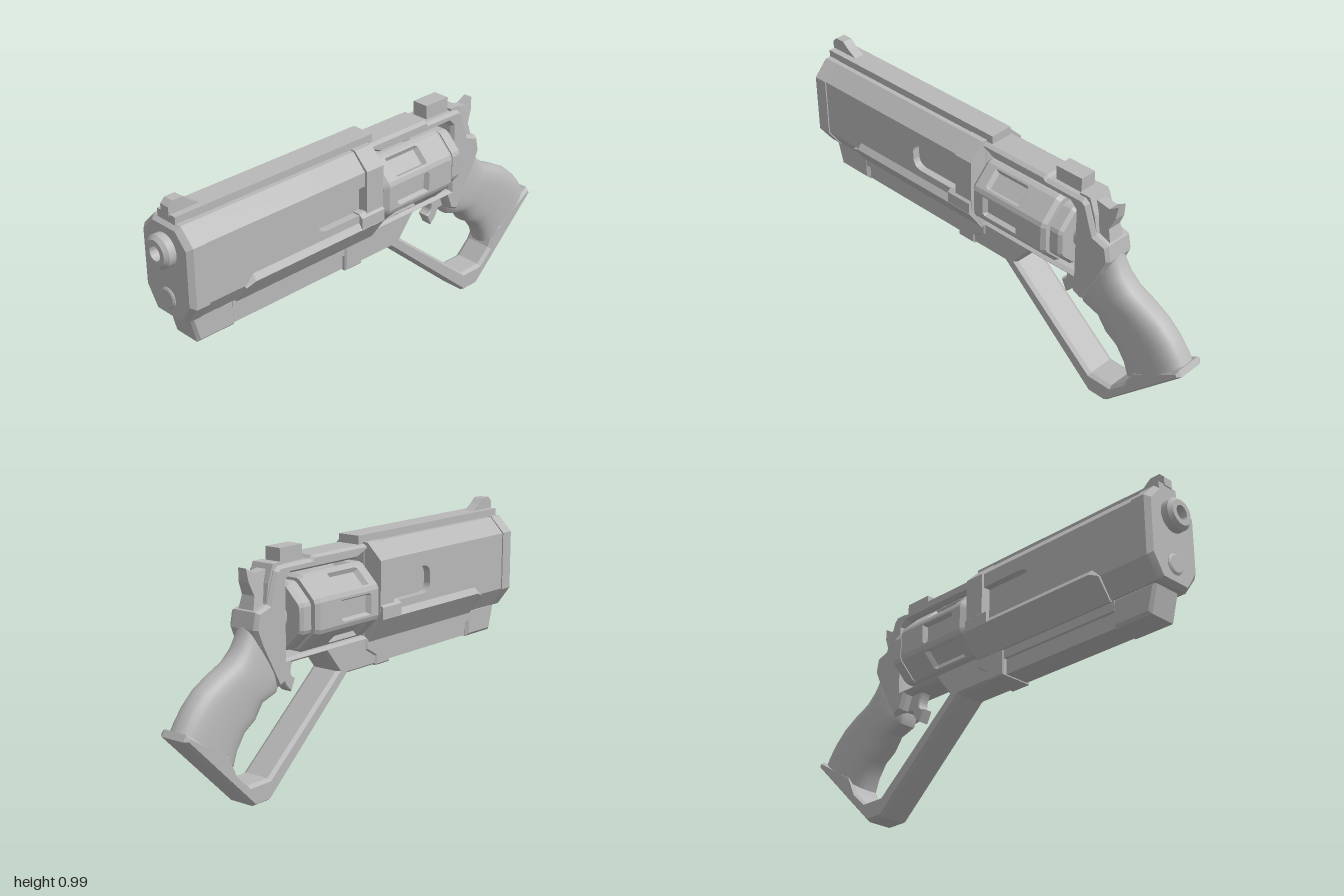
import * as THREE from 'three';
import { toCreasedNormals } from 'three/addons/utils/BufferGeometryUtils.js';

// Skin a list of equal-length rings of [x, y, z] points and close both ends
function loft(rings, crease = 0.3) {
  const n = rings[0].length, pos = [], idx = [];
  rings.forEach(r => r.forEach(p => pos.push(...p)));
  for (let i = 0; i < rings.length - 1; i++) {
    for (let j = 0; j < n; j++) {
      const a = i * n + j, b = i * n + (j + 1) % n;
      idx.push(a, b, b + n, a, b + n, a + n);
    }
  }
  [0, rings.length - 1].forEach((i, end) => {
    const c = pos.length / 3;
    pos.push(...[0, 1, 2].map(k => rings[i].reduce((s, p) => s + p[k], 0) / n));
    for (let j = 0; j < n; j++) {
      const a = i * n + j, b = i * n + (j + 1) % n;
      idx.push(c, ...(end ? [a, b] : [b, a]));
    }
  });
  const g = new THREE.BufferGeometry();
  g.setAttribute('position', new THREE.Float32BufferAttribute(pos, 3));
  g.setIndex(idx);
  return toCreasedNormals(g, crease);
}

// Mirrored cross-section at x; half lists [z, y] from top to bottom on the +z side
const section = (x, half) => [
  ...half.map(([z, y]) => [x, y, z]),
  ...half.slice().reverse().map(([z, y]) => [x, y, -z]),
];
const prism = (half, x0, x1) => loft([section(x0, half), section(x1, half)]);

const outline = pts => new THREE.Shape(pts.map(p => new THREE.Vector2(...p)));

// Side outline extruded symmetrically in z, with a chamfer that stays inside it
function plate(shape, half, size = 0, thick = size) {
  const g = new THREE.ExtrudeGeometry(shape, {
    depth: 2 * (half - thick), bevelEnabled: size > 0, bevelSize: size,
    bevelThickness: thick, bevelOffset: -size, bevelSegments: 1, curveSegments: 8,
  });
  return g.translate(0, 0, thick - half);
}

export function createModel() {
  const model = new THREE.Group();
  const metal = new THREE.MeshStandardMaterial({ color: 0xb8b8b8, side: THREE.DoubleSide });
  metal.name = 'grey metal';
  const add = (name, geometry) => {
    const m = new THREE.Mesh(geometry, metal);
    m.name = name;
    model.add(m);
    return m;
  };
  const box = (name, x0, x1, y0, y1, half) => add(name,
    new THREE.BoxGeometry(x1 - x0, y1 - y0, 2 * half).translate((x0 + x1) / 2, (y0 + y1) / 2, 0));

  // Barrel shroud with a side slot on both sides
  const body = [[0.07, 0.91], [0.132, 0.845], [0.132, 0.6], [0.075, 0.518]];
  const slotted = [...body.slice(0, 2), [0.132, 0.785], [0.1, 0.785], [0.1, 0.67], [0.132, 0.67], ...body.slice(2)];
  add('barrelShroud', prism(body, -0.88, -0.345));
  add('slottedShroud', prism(slotted, -0.345, -0.1));
  add('shroudCollar', prism([[0.072, 0.912], [0.139, 0.846], [0.139, 0.64], [0.075, 0.518]], -0.095, -0.008));
  for (const s of [1, -1]) {
    // Rounded front corners of the slot
    for (const [y, d] of [[0.785, -1], [0.67, 1]]) {
      const r = 0.05, corner = new THREE.Shape();
      corner.moveTo(-0.346, y);
      corner.lineTo(-0.346 + r, y);
      corner.quadraticCurveTo(-0.346, y, -0.346, y + d * r);
      const g = new THREE.ExtrudeGeometry(corner, { depth: 0.032, bevelEnabled: false });
      add('slotCorner', g.translate(0, 0, s > 0 ? 0.1 : -0.132));
    }
  }

  // Front cap with chamfered face
  const cap = [[0.073, 0.912], [0.137, 0.847], [0.137, 0.597], [0.078, 0.518]];
  const capFace = [[0.063, 0.895], [0.12, 0.835], [0.12, 0.61], [0.068, 0.53]];
  add('frontCap', loft([section(-0.955, capFace), section(-0.935, cap), section(-0.875, cap)]));

  // Lower side rails
  const rail = [[0.13, 0.64], [0.15, 0.612], [0.08, 0.512]];
  const railTip = [[0.125, 0.6], [0.143, 0.595], [0.08, 0.512]];
  add('lowerRails', loft([section(-0.71, railTip), section(-0.67, rail), section(-0.01, rail)]));
  add('railRear', prism([[0.13, 0.675], [0.149, 0.66], [0.149, 0.61]], -0.13, -0.01));

  // Muzzle and rod below it
  const turned = (name, pts, y) => add(name, toCreasedNormals(
    new THREE.LatheGeometry(pts.map(p => new THREE.Vector2(...p)), 32).rotateZ(Math.PI / 2).translate(0, y, 0), 0.5));
  turned('muzzle', [[0.066, 0.93], [0.066, 0.985], [0.052, 1], [0.03, 1], [0.026, 0.93], [0, 0.93]], 0.8);
  turned('rodEnd', [[0.042, 0.93], [0.042, 0.958], [0.034, 0.963], [0, 0.963]], 0.6);

  // Top rib and sights
  box('topRib', -0.94, 0.02, 0.9, 0.94, 0.05);
  add('frontSight', plate(outline([[-0.945, 0.935], [-0.945, 0.97], [-0.925, 0.99], [-0.88, 0.99], [-0.85, 0.965], [-0.8, 0.935]]), 0.022));
  box('rearSight', 0.34, 0.465, 0.89, 0.95, 0.036);

  // Underlug with a recessed panel on each side
  add('underlugNose', plate(outline([[-0.915, 0.525], [-0.885, 0.405], [-0.71, 0.405], [-0.71, 0.525]]), 0.07, 0.012));
  box('underlugTop', -0.72, -0.14, 0.475, 0.525, 0.07);
  box('underlugPanel', -0.72, -0.14, 0.41, 0.48, 0.057);
  add('underlugRear', plate(outline([[-0.15, 0.525], [-0.15, 0.405], [-0.06, 0.405], [-0.06, 0.445], [0.0, 0.48], [0.0, 0.525]]), 0.076, 0.006));

  // Frame, trigger guard and butt in one outline around the cylinder window
  const frame = outline([
    [-0.1, 0.405], [0.11, 0.405], [0.57, 0.003], [0.655, 0.003], [1.0, 0.335], [0.985, 0.36],
    [0.78, 0.235], [0.74, 0.15], [0.675, 0.09], [0.57, 0.09], [0.168, 0.425], [0.24, 0.513],
    [0.44, 0.513], [0.465, 0.45], [0.51, 0.43], [0.605, 0.6], [0.635, 0.67], [0.622, 0.735],
    [0.56, 0.755], [0.52, 0.875], [0.5, 0.89], [0.32, 0.892], [0.31, 0.905], [-0.1, 0.905],
  ]);
  frame.holes.push(new THREE.Path([
    [-0.005, 0.535], [-0.005, 0.88], [0.05, 0.855], [0.44, 0.855], [0.465, 0.83], [0.465, 0.535],
  ].map(p => new THREE.Vector2(...p))));
  add('frame', plate(frame, 0.07, 0.01, 0.016));

  // Rounded grip with finger grooves: front edge, back edge, half width
  const grip = [
    [0.50, 0.56, 0.622, 0.71, 0.045], [0.475, 0.5, 0.64, 0.66, 0.058], [0.468, 0.45, 0.67, 0.605, 0.066],
    [0.49, 0.4, 0.72, 0.56, 0.069], [0.565, 0.378, 0.8, 0.523, 0.069], [0.605, 0.32, 0.87, 0.485, 0.069],
    [0.662, 0.285, 0.925, 0.435, 0.069], [0.705, 0.225, 0.965, 0.385, 0.07], [0.725, 0.17, 0.99, 0.345, 0.07],
  ];
  const power = v => Math.sign(v) * Math.abs(v) ** 0.7;
  add('grip', loft(grip.map(([fx, fy, bx, by, w]) => Array.from({ length: 28 }, (_, j) => {
    const t = j / 28 * Math.PI * 2, c = (power(Math.cos(t)) + 1) / 2;
    return [fx + (bx - fx) * c, fy + (by - fy) * c, w * power(Math.sin(t))];
  })), 0.7));

  // Fluted eight-sided cylinder: rings of x, scale, flute depth
  const drumRing = ([x, scale, d]) => {
    const ring = [];
    for (let k = 0; k < 8; k++) {
      const a = k * Math.PI / 4, c = Math.cos(a), s = Math.sin(a);
      for (const [t, r] of [[-0.052, 0.15], [-0.043, 0.15], [-0.034, 0.15 - d], [0.034, 0.15 - d], [0.043, 0.15], [0.052, 0.15]]) {
        ring.push([x, 0.69 + scale * (r * c - t * s), scale * (r * s + t * c)]);
      }
    }
    return ring;
  };
  add('cylinder', loft([
    [0, 0.88, 0], [0.02, 1, 0], [0.065, 1, 0], [0.078, 1, 0.018], [0.23, 1, 0.018], [0.243, 1, 0],
    [0.37, 1, 0], [0.388, 0.92, 0], [0.388, 0.78, 0], [0.4, 0.78, 0], [0.4, 0.87, 0], [0.44, 0.87, 0], [0.455, 0.8, 0],
  ].map(drumRing)));
  turned('cylinderAxle', [[0, -0.48], [0.06, -0.48], [0.06, 0.03], [0, 0.03]], 0.69);

  // Trigger
  const trigger = new THREE.Shape();
  trigger.moveTo(0.375, 0.52);
  trigger.quadraticCurveTo(0.42, 0.45, 0.37, 0.435);
  trigger.lineTo(0.395, 0.385);
  trigger.quadraticCurveTo(0.43, 0.41, 0.437, 0.445);
  trigger.lineTo(0.475, 0.45);
  trigger.lineTo(0.475, 0.52);
  add('trigger', plate(trigger, 0.025, 0.004));

  // Hammer, narrower towards the spur
  const hammer = plate(outline([
    [0.51, 0.74], [0.5, 0.87], [0.53, 0.88], [0.59, 0.87], [0.63, 0.895], [0.622, 0.84], [0.6, 0.79], [0.615, 0.73],
  ]), 1);
  const p = hammer.attributes.position;
  for (let i = 0; i < p.count; i++) p.setZ(i, p.getZ(i) * (0.037 - (p.getY(i) - 0.74) * 0.115));
  hammer.computeVertexNormals();
  add('hammer', hammer);
  add('hammerShroud', plate(outline([[0.47, 0.82], [0.47, 0.9], [0.52, 0.9], [0.545, 0.83], [0.56, 0.75], [0.5, 0.75]]), 0.05));

  return model;
}
